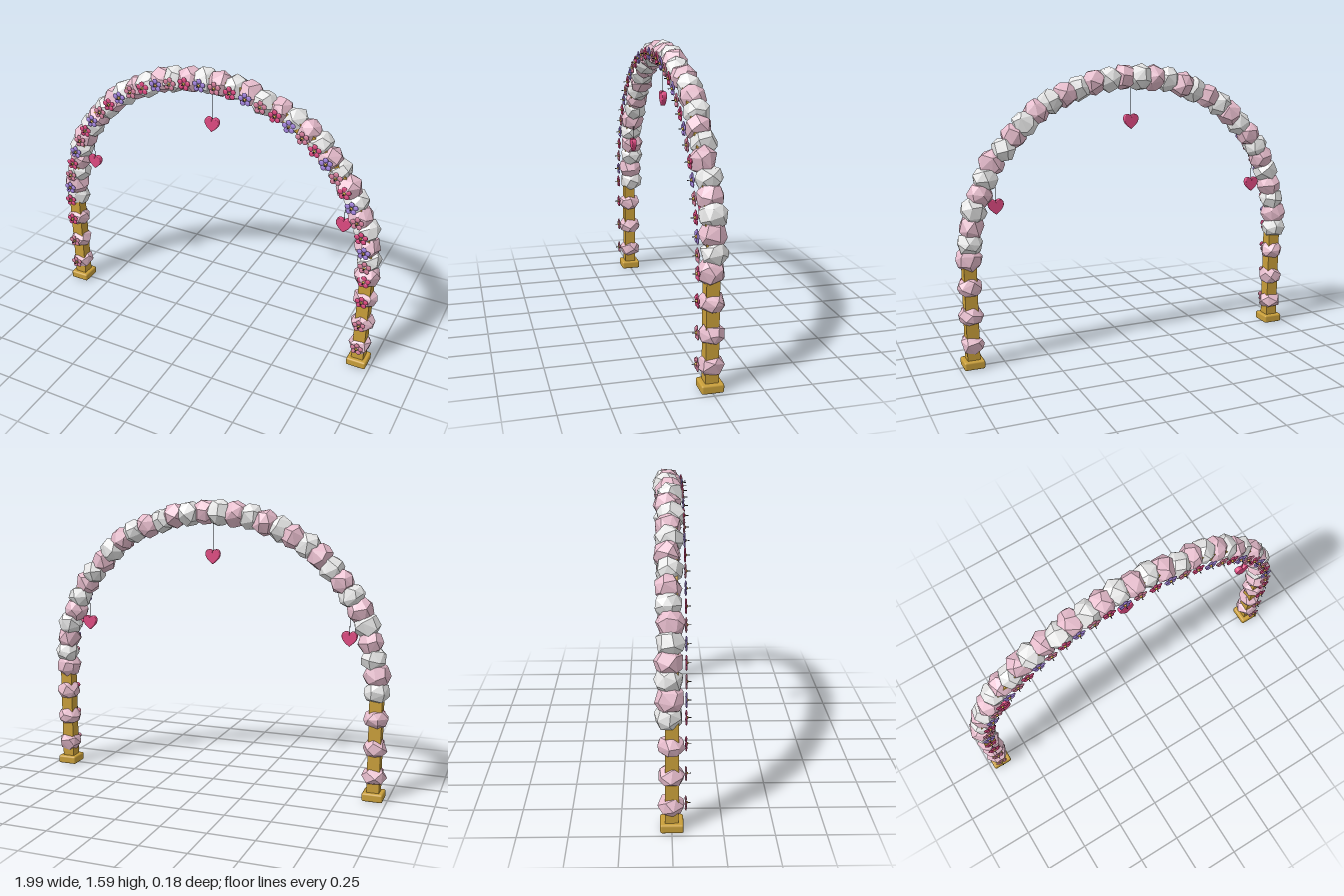
import * as THREE from 'three';
import { ConvexGeometry } from 'three/addons/geometries/ConvexGeometry.js';
import { RoundedBoxGeometry } from 'three/addons/geometries/RoundedBoxGeometry.js';

const R = 0.925, SPRING = 0.6, BLOOMS = 34;
const FORWARD = [12, 14, 20, 27, 33]; // puffs that swallow most of their flower

export function createModel() {
  const mat = (name, color) => {
    const m = new THREE.MeshStandardMaterial({ color });
    m.name = name;
    return m;
  };
  const gold = mat('gold', 0xc99f3a);
  const blush = mat('blush', 0xe6bccc);
  const white = mat('white', 0xececec);
  const magenta = mat('magenta', 0xdf4a82);
  const violet = mat('violet', 0xa585e0);
  const rose = mat('rose', 0xd9829f);
  const cord = mat('cord', 0x2a2633);

  const group = new THREE.Group();
  const add = (name, geometry, material, x, y, z, parent = group) => {
    const mesh = new THREE.Mesh(geometry, material);
    mesh.name = name;
    mesh.position.set(x, y, z);
    parent.add(mesh);
    return mesh;
  };

  // seeded random numbers
  let seed = 7;
  const rand = () => (seed = (seed * 16807) % 2147483647) / 2147483647;
  const jitter = (a) => (rand() * 2 - 1) * a;

  // feet and posts
  for (const s of [-1, 1]) {
    add('foot', new RoundedBoxGeometry(0.112, 0.046, 0.114, 2, 0.01), gold, s * R, 0.023, 0);
    add('post', new THREE.BoxGeometry(0.068, SPRING - 0.04, 0.066), gold, s * R, SPRING / 2 + 0.02, 0);
  }

  // half-ring beam
  const ring = new THREE.Shape();
  ring.absarc(0, 0, R + 0.027, 0, Math.PI, false);
  ring.absarc(0, 0, R - 0.027, Math.PI, 0, true);
  const beam = new THREE.ExtrudeGeometry(ring, { depth: 0.062, bevelEnabled: false, curveSegments: 40 });
  add('archBeam', beam, gold, 0, SPRING, -0.031);

  // faceted puff: hull of a jittered, evenly spread ball of points
  function addPuff(x, y, z, radius, material, squash = 1) {
    const points = [], n = 16 + Math.floor(rand() * 8), spin = rand() * 6.28;
    const turn = new THREE.Euler(rand() * 6.28, rand() * 6.28, rand() * 6.28);
    for (let i = 0; i < n; i++) {
      const h = 1 - (2 * i + 1) / n, a = i * 2.39996 + spin;
      const c = Math.sqrt(1 - h * h);
      const p = new THREE.Vector3(c * Math.cos(a) + jitter(0.15), h + jitter(0.15), c * Math.sin(a) + jitter(0.15));
      p.normalize().multiplyScalar(radius).applyEuler(turn);
      p.y *= squash;
      points.push(p);
    }
    add('puff', new ConvexGeometry(points), material, x, y, z);
  }

  // five-petalled blossom facing forward
  const petalGeo = new THREE.SphereGeometry(0.0145, 12, 8).scale(1, 1, 0.35);
  const centreGeo = new THREE.SphereGeometry(0.0075, 10, 8);
  const stamenGeo = new THREE.CylinderGeometry(0.0025, 0.0015, 0.022, 6).rotateX(Math.PI / 2);
  function addFlower(x, y, material) {
    const flower = new THREE.Group();
    flower.name = 'flower';
    flower.position.set(x, y, 0.068);
    flower.rotation.z = jitter(0.15);
    for (let k = 0; k < 5; k++) {
      const a = Math.PI / 2 + (k * Math.PI * 2) / 5;
      add('petal', petalGeo, material, 0.0235 * Math.cos(a), 0.0235 * Math.sin(a), 0, flower);
    }
    add('flowerCentre', centreGeo, gold, 0, 0, 0.003, flower);
    add('stamen', stamenGeo, cord, 0, 0, 0.013, flower);
    group.add(flower);
  }

  // widely spaced blossoms on the posts
  for (const s of [-1, 1]) {
    [0.135, 0.295, 0.455].forEach((y, i) => {
      addPuff(s * R, y - 0.005, -0.003, 0.069, blush, 0.84);
      addFlower(s * R, y + 0.005, i === 2 ? magenta : rose);
    });
  }

  // garland along the arch, starting at the model's right
  const cycle = [magenta, violet, rose];
  for (let i = 0; i < BLOOMS; i++) {
    const a = Math.PI * (1 - i / (BLOOMS - 1));
    const x = R * Math.cos(a), y = SPRING + R * Math.sin(a), out = 1 + jitter(0.008);
    const z = FORWARD.includes(i) ? 0.004 : -0.01 + jitter(0.008);
    addPuff(x * out, SPRING + (y - SPRING) * out, z, 0.073 + jitter(0.003), i % 2 ? blush : white);
    addFlower(x, y - 0.005, cycle[i % 3]);
  }

  // hanging hearts
  const shape = new THREE.Shape();
  shape.moveTo(0, -0.037);
  shape.bezierCurveTo(-0.018, -0.022, -0.038, -0.008, -0.038, 0.015);
  shape.bezierCurveTo(-0.038, 0.04, -0.006, 0.042, 0, 0.02);
  shape.bezierCurveTo(0.006, 0.042, 0.038, 0.04, 0.038, 0.015);
  shape.bezierCurveTo(0.038, -0.008, 0.018, -0.022, 0, -0.037);
  const pendant = new THREE.ExtrudeGeometry(shape, {
    depth: 0.014, bevelThickness: 0.006, bevelSize: 0.004, bevelSegments: 3, curveSegments: 10,
  }).translate(0, 0, -0.007);
  for (const [x, y, top] of [[-0.77, 0.87, 1.11], [0, 1.28, 1.5], [0.77, 0.87, 1.11]]) {
    add('heartPendant', pendant, magenta, x, y, 0);
    const low = y + 0.02;
    add('pendantCord', new THREE.CylinderGeometry(0.0015, 0.0015, top - low, 6), cord, x, (top + low) / 2, 0);
  }
  return group;
}
